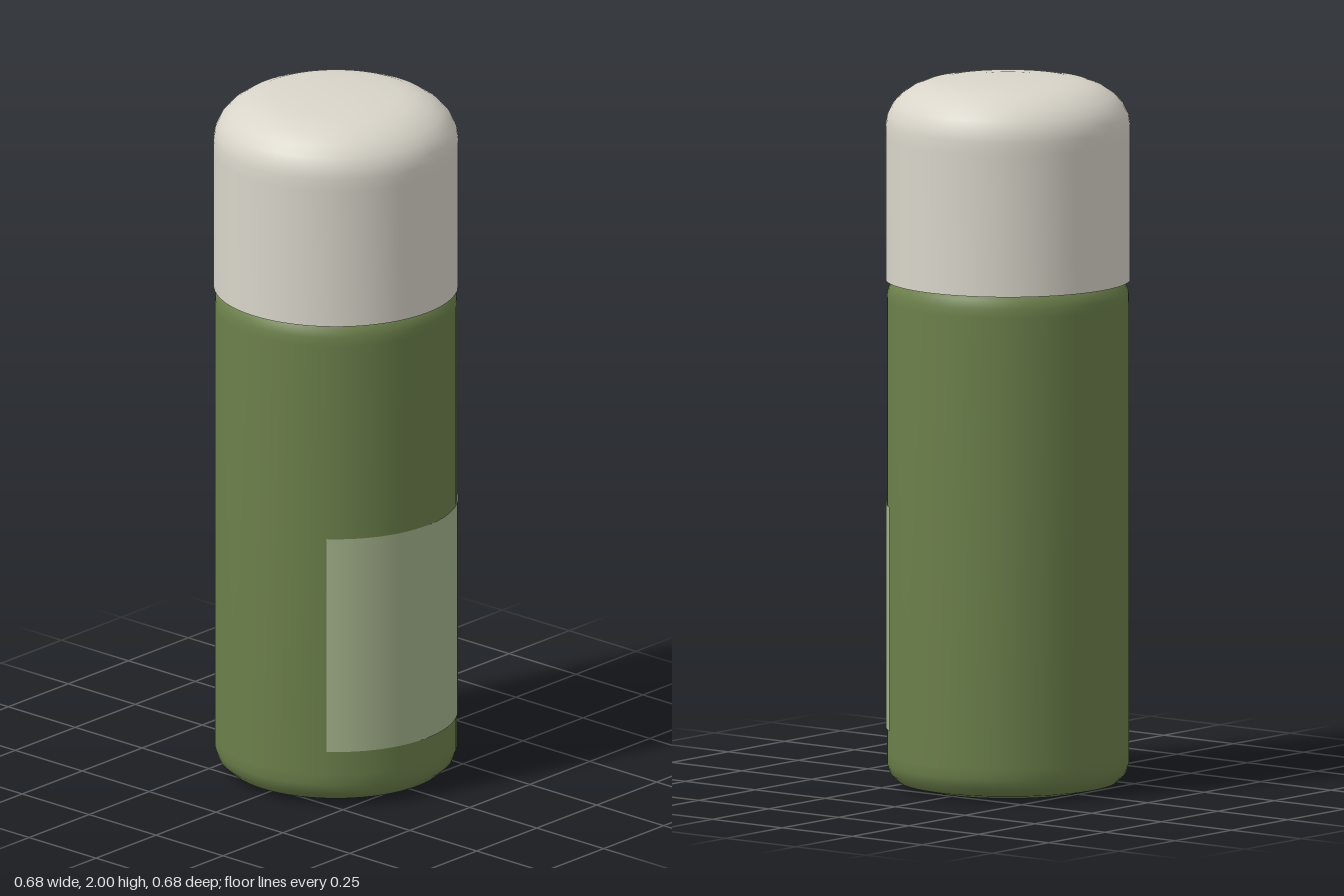
import * as THREE from 'three';
import { toCreasedNormals } from 'three/addons/utils/BufferGeometryUtils.js';

const SEGMENTS = 64;

function material(name, color) {
  const m = new THREE.MeshStandardMaterial({ color });
  m.name = name;
  return m;
}

// Spin a profile of [radius, height] points around the y axis
function turned(name, profile, mat) {
  const points = profile.map(([r, y]) => new THREE.Vector2(r, y));
  const geometry = toCreasedNormals(new THREE.LatheGeometry(points, SEGMENTS), 0.9);
  const mesh = new THREE.Mesh(geometry, mat);
  mesh.name = name;
  return mesh;
}

export function createModel() {
  const group = new THREE.Group();
  group.name = 'bottle';
  const green = material('olive green', 0x6b7f4a);
  const cream = material('warm cream', 0xd9d5ca);
  const pale = material('pale sage', 0xa3b18a);
  pale.side = THREE.DoubleSide;

  // Body: flat base, rounded foot, straight wall and a small shoulder under the cap
  group.add(turned('body', [
    [0, 0.004], [0.22, 0.004], [0.25, 0.006], [0.305, 0.02], [0.328, 0.042], [0.337, 0.07],
    [0.337, 0.1], [0.337, 1.37], [0.336, 1.395], [0.328, 1.418], [0.315, 1.432], [0.3, 1.45], [0, 1.45],
  ], green));

  // Cap: sharp lower rim, straight wall and softly domed top
  group.add(turned('cap', [
    [0.29, 1.43], [0.341, 1.43], [0.341, 1.83], [0.341, 1.865], [0.336, 1.893], [0.322, 1.922],
    [0.298, 1.948], [0.265, 1.97], [0.225, 1.985], [0.18, 1.992], [0.1, 1.998], [0, 2],
  ], cream));

  // Label: thin curved sheet wrapped round the front
  const radius = 0.3395;
  const half = Math.asin(0.27 / radius);
  const sheet = new THREE.CylinderGeometry(radius, radius, 0.63, 32, 1, true, -half, 2 * half);
  const label = new THREE.Mesh(sheet, pale);
  label.name = 'label';
  label.position.y = 0.485;
  group.add(label);

  return group;
}
